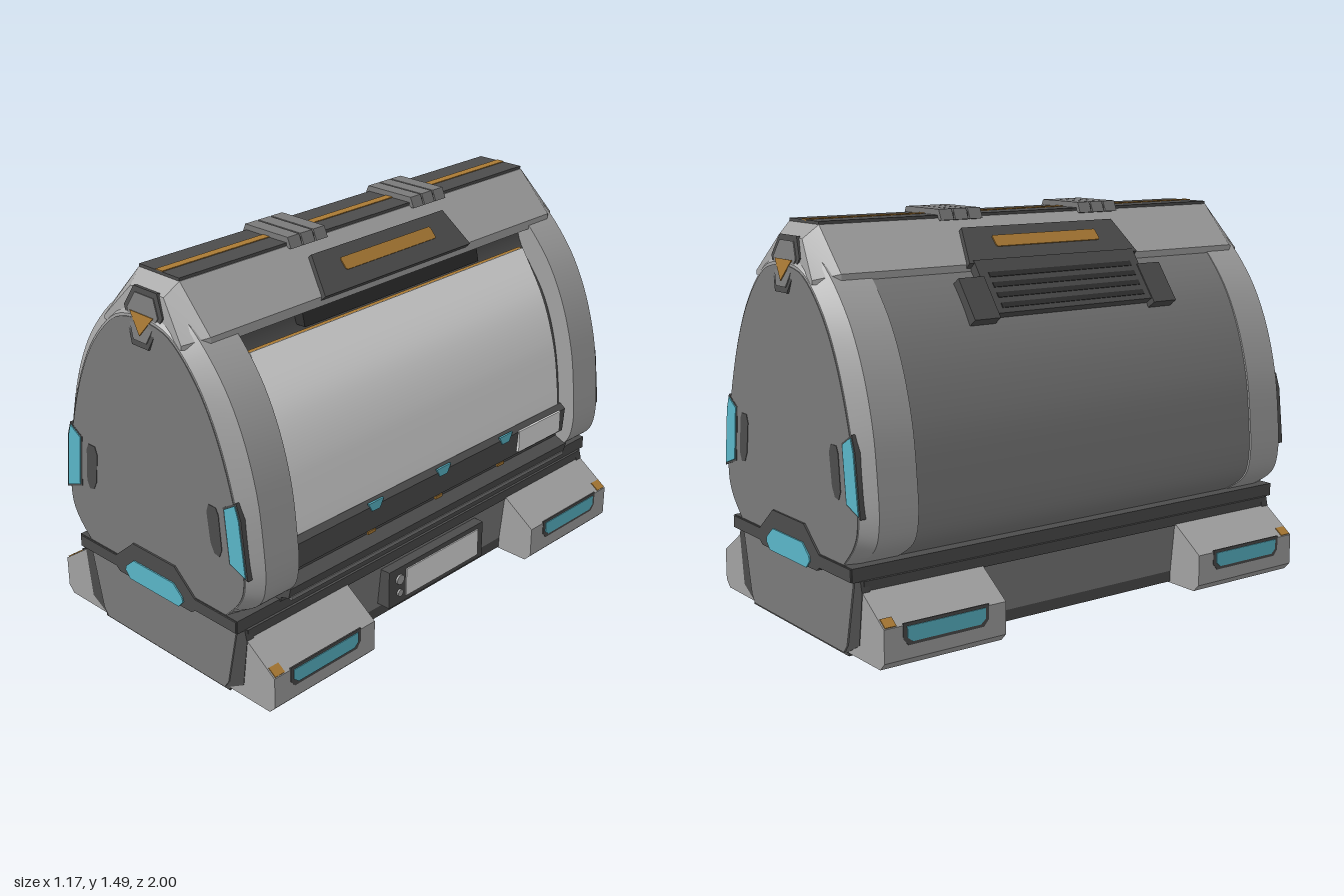
import * as THREE from 'three';
import { toCreasedNormals } from 'three/addons/utils/BufferGeometryUtils.js';

const mat = (name, color) => Object.assign(new THREE.MeshStandardMaterial({ color }), { name });

export function createModel() {
  const light = mat('lightGrey', 0xa2a2a2), mid = mat('midGrey', 0x7a7a7a), dark = mat('darkGrey', 0x4c4c4c);
  const black = mat('charcoal', 0x303030), white = mat('white', 0xe0e0e0);
  const cyan = mat('cyan', 0x5ab6c8), orange = mat('orange', 0xaa7a34);
  const root = new THREE.Group();

  const add = (parent, name, geo, material) => {
    const m = new THREE.Mesh(geo, material);
    m.name = name;
    parent.add(m);
    return m;
  };
  const box = (parent, name, material, w, h, d, x, y, z) => {
    const m = add(parent, name, new THREE.BoxGeometry(w, h, d), material);
    m.position.set(x, y, z);
    return m;
  };
  // Outline in x, y pushed along z from z0 to z1
  const ext = (parent, name, material, pts, z0, z1) => {
    const shape = new THREE.Shape(pts.map(p => new THREE.Vector2(p[0], p[1])));
    const g = new THREE.ExtrudeGeometry(shape, { depth: z1 - z0, bevelEnabled: false });
    return add(parent, name, toCreasedNormals(g.translate(0, 0, z0), 0.45), material);
  };
  // Skin over cross-sections ordered by rising z, each anticlockwise
  const loft = (parent, name, material, sections) => {
    const v = [], tri = (...p) => p.forEach(q => v.push(...q)), n = sections[0].length;
    for (let s = 0; s + 1 < sections.length; s++) for (let i = 0; i < n; i++) {
      const j = (i + 1) % n, A = sections[s], B = sections[s + 1];
      tri(A[i], A[j], B[j]);
      tri(A[i], B[j], B[i]);
    }
    [sections[0], sections[sections.length - 1]].forEach((S, end) => {
      const c = [0, 1, 2].map(k => S.reduce((t, p) => t + p[k], 0) / n);
      for (let i = 0; i < n; i++) {
        const j = (i + 1) % n;
        end ? tri(c, S[i], S[j]) : tri(c, S[j], S[i]);
      }
    });
    const g = new THREE.BufferGeometry();
    g.setAttribute('position', new THREE.Float32BufferAttribute(v, 3));
    return add(parent, name, toCreasedNormals(g, 0.45), material);
  };
  const curve = (pts, n) => new THREE.SplineCurve(pts.map(p => new THREE.Vector2(...p))).getPoints(n).map(p => [p.x, p.y]);
  const mirror = half => [...half, ...half.filter(p => p[0] > 1e-4).reverse().map(([x, y]) => [-x, y])];
  const atZ = (pts, z) => pts.map(([x, y]) => [x, y, z]);

  // Shell outlines, right half from bottom to crown
  const outerHalf = curve([[0.38, 0.33], [0.49, 0.405], [0.523, 0.5], [0.517, 0.64], [0.49, 0.83],
    [0.425, 1.03], [0.325, 1.2], [0.17, 1.35], [0, 1.4]], 40);
  const innerHalf = curve([[0.37, 0.33], [0.445, 0.41], [0.476, 0.49], [0.468, 0.62], [0.435, 0.8],
    [0.365, 1.01], [0.27, 1.18], [0.14, 1.305], [0, 1.335]], 40);
  const outer = mirror(outerHalf), inner = mirror(innerHalf);

  // Hull with a recessed door bay on the left side
  ext(root, 'hull', mid, [...outerHalf.map(([x, y]) => [-x * 0.985, y]), [0, 0.33]], -0.79, 0.79);
  const bay = curve([[0.44, 0.4], [0.445, 0.6], [0.41, 0.83], [0.34, 1.02], [0.215, 1.2], [0.19, 1.3]], 24);
  ext(root, 'doorBay', dark, [[0, 0.33], [0.44, 0.33], ...bay, [0, 1.35]], -0.79, 0.79);
  ext(root, 'doorSill', dark, [[0.38, 0.33], [0.48, 0.36], [0.49, 0.4], [0.42, 0.43]], -0.79, 0.79);
  box(root, 'doorSillLine', mid, 0.02, 0.015, 1.56, 0.475, 0.357, 0);

  // Sliding door
  const door = new THREE.Group();
  door.name = 'door';
  root.add(door);
  const skin = curve([[0.475, 0.58], [0.468, 0.66], [0.44, 0.83], [0.373, 1.02], [0.26, 1.205]], 24);
  ext(door, 'doorPanel', white, [...skin, [0.22, 1.19], [0.3, 1.02], [0.38, 0.83], [0.42, 0.58]], -0.735, 0.74);
  box(door, 'doorTopTrim', orange, 0.02, 0.012, 1.47, 0.248, 1.197, 0);
  ext(door, 'doorLowerPanel', dark, [[0.42, 0.59], [0.475, 0.588], [0.498, 0.57], [0.49, 0.47], [0.43, 0.455]], -0.755, 0.76);
  ext(door, 'doorUpperVent', black, [[0.2, 1.215], [0.25, 1.215], [0.235, 1.28], [0.18, 1.28]], -0.47, 0.47);
  box(door, 'doorPlate', white, 0.02, 0.09, 0.265, 0.493, 0.528, -0.585);
  for (const z of [-0.37, 0, 0.37]) {
    const tab = ext(door, 'doorTab', cyan, [[-0.04, 0.035], [-0.02, 0], [0.02, 0], [0.04, 0.035]], 0, 0.008);
    tab.rotation.y = Math.PI / 2;
    tab.position.set(0.494, 0.553, z);
    box(door, 'doorMarker', orange, 0.008, 0.012, 0.04, 0.478, 0.454, z);
  }

  // Roof spine with tapered ends
  const spine = (b, bt, t, tt, zb, zt) => [[-b, 1.27, zb], [b, 1.27, zb], [b, bt, zb], [t, tt, zt], [-t, tt, zt], [-b, bt, zb]];
  loft(root, 'roofSpine', light, [spine(0.2, 1.285, 0.085, 1.415, -0.985, -0.955), spine(0.25, 1.305, 0.105, 1.462, -0.9, -0.9),
    spine(0.25, 1.305, 0.105, 1.462, 0.9, 0.9), spine(0.2, 1.285, 0.085, 1.415, 0.985, 0.955)]);
  box(root, 'roofRail', dark, 0.205, 0.03, 1.8, 0, 1.458, 0);
  box(root, 'roofStripe', orange, 0.034, 0.008, 1.8, 0, 1.472, 0);
  for (const z of [-0.32, 0.32]) {
    ext(root, 'roofClamp', dark, [[-0.115, 1.44], [0.115, 1.44], [0.11, 1.482], [-0.11, 1.482]], z - 0.09, z + 0.09);
    for (const k of [-1, 0, 1])
      ext(root, 'clampRib', mid, [[-0.125, 1.455], [0.125, 1.455], [0.108, 1.494], [-0.108, 1.494]], z + k * 0.063 - 0.028, z + k * 0.063 + 0.028);
  }

  // Everything that repeats at both ends
  for (const turn of [0, Math.PI]) {
    const end = new THREE.Group();
    end.name = turn ? 'backEnd' : 'frontEnd';
    end.rotation.y = turn;
    root.add(end);
    loft(end, 'endRing', light, [atZ(outer, 0.78), atZ(outer, 0.935), atZ(inner, 0.985)]);
    ext(end, 'endFace', mid, inner.map(([x, y]) => [x * 0.99, 0.33 + (y - 0.33) * 0.99]), 0.975, 0.988);

    // Crest badge, leaning back
    const crest = new THREE.Group();
    crest.name = 'crest';
    crest.position.set(0, 1.225, 0.985);
    crest.rotation.x = -0.17;
    end.add(crest);
    const hex = k => [[-0.06, 0.1], [0.06, 0.1], [0.1, 0.025], [0.042, -0.1], [-0.042, -0.1], [-0.1, 0.025]].map(([x, y]) => [x * k, y * k + 0.1]);
    ext(crest, 'crestFrame', dark, hex(1), -0.03, 0.012);
    ext(crest, 'crestFace', mid, hex(0.8), 0.01, 0.016);
    ext(crest, 'crestTriangle', orange, [[-0.06, 0.115], [0.06, 0.115], [0, 0.04]], 0.015, 0.02);

    // Marker lights and slots
    for (const s of [-1, 1]) {
      const flip = pts => pts.map(([x, y]) => [x * s, y]);
      ext(end, 'endLightFrame', dark, flip([[0.38, 0.76], [0.447, 0.8], [0.468, 0.74], [0.494, 0.52], [0.402, 0.552]]), 0.95, 0.989);
      ext(end, 'endLight', cyan, flip([[0.389, 0.757], [0.443, 0.79], [0.46, 0.74], [0.486, 0.53], [0.41, 0.558]]), 0.985, 0.993);
      ext(end, 'endSlot', dark, flip([[0.308, 0.745], [0.345, 0.745], [0.357, 0.72], [0.368, 0.59], [0.355, 0.56], [0.33, 0.565], [0.312, 0.6], [0.297, 0.715]]), 0.985, 0.99);
    }

    // Belt plate with raised centre and lamp
    ext(end, 'beltPlate', dark, mirror([[0.2, 0.275], [0.22, 0.29], [0.43, 0.29], [0.43, 0.335], [0.22, 0.335], [0.115, 0.425]]), 0.95, 0.995);
    ext(end, 'beltLamp', cyan, mirror([[0.135, 0.272], [0.16, 0.3], [0.155, 0.318], [0.11, 0.357]]), 0.993, 1.0);

    // Base end plates
    ext(end, 'baseEndFrame', dark, mirror([[0.34, 0.01], [0.425, 0.06], [0.45, 0.25], [0.44, 0.29]]), 0.93, 0.962);
    ext(end, 'baseEndPanel', mid, mirror([[0.33, 0.01], [0.352, 0.04], [0.405, 0.285]]), 0.95, 0.968);
  }

  // Base core, belt and underside
  ext(root, 'baseCore', mid, mirror([[0.36, 0.02], [0.42, 0.06], [0.44, 0.25], [0.42, 0.3]]), -0.94, 0.94);
  box(root, 'belt', dark, 0.87, 0.05, 1.98, 0, 0.313, 0);
  box(root, 'beltStep', dark, 0.89, 0.04, 1.9, 0, 0.27, 0);
  box(root, 'underside', dark, 0.7, 0.02, 1.92, 0, 0.01, 0);

  // Everything that repeats on both sides
  for (const turn of [0, Math.PI]) {
    const side = new THREE.Group();
    side.name = turn ? 'rightSide' : 'leftSide';
    side.rotation.y = turn;
    root.add(side);
    box(side, 'baseSkirt', dark, 0.03, 0.045, 0.92, 0.405, 0.04, 0);

    // Bracket lying on the slope of the spine
    const bracket = new THREE.Group();
    bracket.name = 'roofBracket';
    const up = new THREE.Vector3(-0.145, 0.157, 0).normalize(), along = new THREE.Vector3(0, 0, -1);
    bracket.matrix.makeBasis(along, up, along.clone().cross(up)).setPosition(0.25, 1.305, 0);
    bracket.matrix.decompose(bracket.position, bracket.quaternion, bracket.scale);
    side.add(bracket);
    ext(bracket, 'bracketPlate', dark, mirror([[0.39, -0.01], [0.35, 0.15]]), -0.02, 0.02);
    ext(bracket, 'bracketStripe', orange, mirror([[0.235, 0.055], [0.24, 0.062], [0.24, 0.098], [0.235, 0.105]]), 0.017, 0.024);

    // Feet with lamps
    for (const s of [-1, 1]) {
      const foot = new THREE.Group();
      foot.name = 'foot';
      foot.position.z = s * 0.71;
      side.add(foot);
      ext(foot, 'footBlock', light, [[0.34, 0.012], [0.555, 0.012], [0.582, 0.04], [0.582, 0.16], [0.445, 0.255], [0.34, 0.255]], -0.25, 0.25);
      const lamp = (name, m, w, h, x) => {
        const l = ext(foot, name, m, mirror([[w - 0.02, -h], [w, 0.4 * -h], [w, h]]), 0, 0.006);
        l.rotation.y = Math.PI / 2;
        l.position.set(x, 0.128, 0);
      };
      lamp('footLampFrame', dark, 0.175, 0.04, 0.578);
      lamp('footLamp', cyan, 0.16, 0.028, 0.581);
      box(foot, 'footMarker', orange, 0.04, 0.006, 0.045, 0.563, 0.174, s * 0.222).rotation.z = -0.606;
    }
  }

  // Control panel under the door
  box(root, 'controlHousing', dark, 0.08, 0.155, 0.545, 0.44, 0.157, 0);
  box(root, 'controlScreen', white, 0.008, 0.115, 0.42, 0.481, 0.157, -0.03);
  for (const [y, r] of [[0.185, 0.02], [0.127, 0.014]]) {
    const knob = add(root, 'controlKnob', new THREE.CylinderGeometry(r, r, 0.01, 16), light);
    knob.rotation.z = Math.PI / 2;
    knob.position.set(0.483, y, 0.215);
  }

  // Louvred vent on the right side
  const vent = new THREE.Group();
  vent.name = 'vent';
  vent.position.set(-0.325, 1.215, 0);
  vent.rotation.z = 0.93;
  root.add(vent);
  box(vent, 'ventPlate', dark, 0.22, 0.05, 0.74, 0.01, -0.008, 0);
  for (const s of [-1, 1]) box(vent, 'ventCheek', dark, 0.17, 0.055, 0.11, -0.035, -0.006, s * 0.412);
  for (let i = 0; i < 4; i++) box(vent, 'ventSlot', black, 0.02, 0.008, 0.66, -0.07 + i * 0.042, 0.016, 0);

  return root;
}
